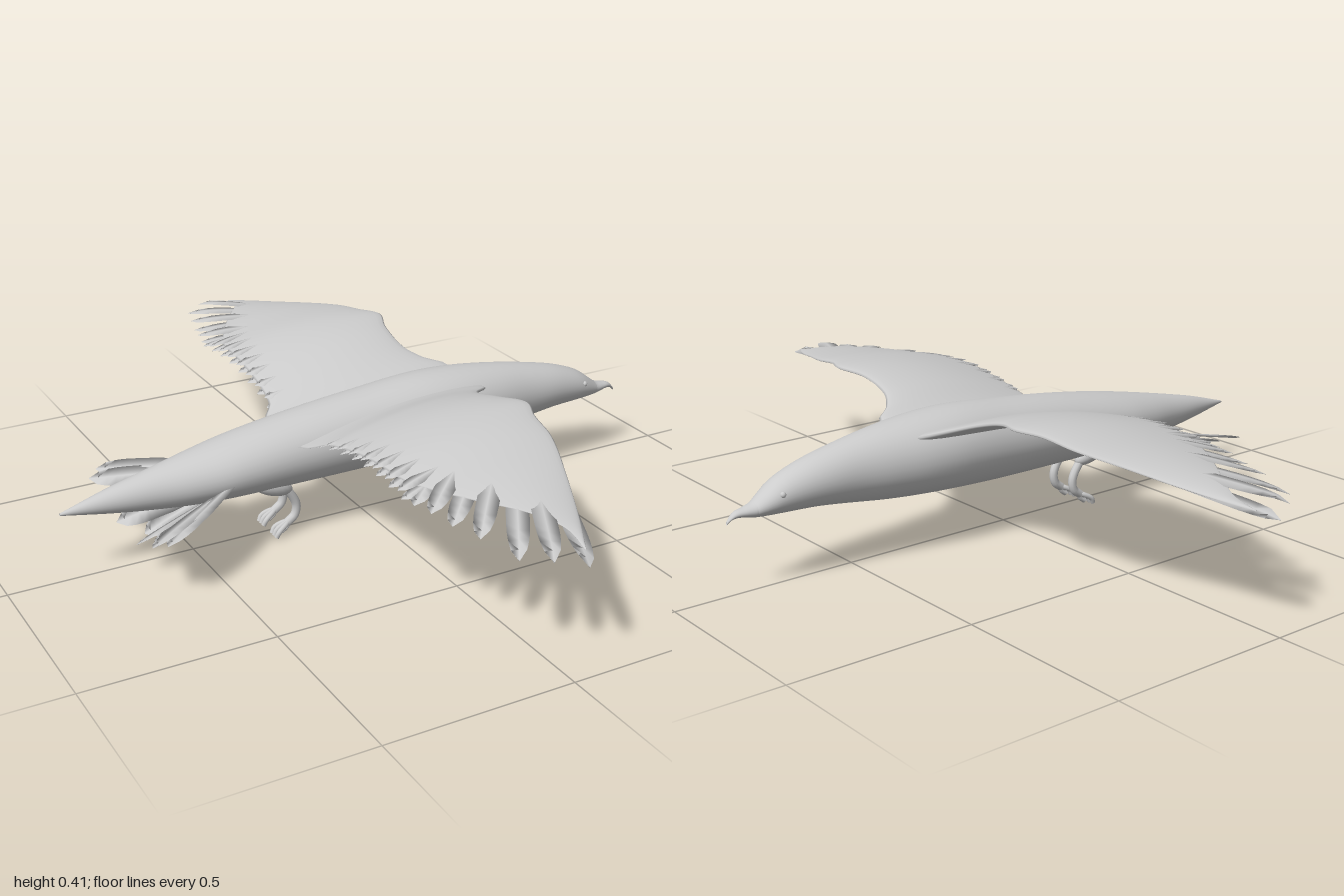
import * as THREE from 'three';

const grey = new THREE.MeshStandardMaterial({ color: 0xcccccc, side: THREE.DoubleSide });
const V = (x, y, z) => new THREE.Vector3(x, y, z);

// Smooth interpolation in a table of [key, value] pairs
function look(table, k) {
  const n = table.length - 1;
  if (k <= table[0][0]) return table[0][1];
  if (k >= table[n][0]) return table[n][1];
  let i = 0;
  while (table[i + 1][0] < k) i++;
  const slope = j => {
    const a = table[Math.max(0, j - 1)], b = table[Math.min(n, j + 1)];
    return (b[1] - a[1]) / (b[0] - a[0]);
  };
  const [x0, y0] = table[i], [x1, y1] = table[i + 1];
  const d = x1 - x0, t = (k - x0) / d, t2 = t * t, t3 = t2 * t;
  return (2 * t3 - 3 * t2 + 1) * y0 + (t3 - 2 * t2 + t) * d * slope(i)
    + (3 * t2 - 2 * t3) * y1 + (t3 - t2) * d * slope(i + 1);
}

// Skin over a list of closed rings of points
function loft(rings, flip = false) {
  const n = rings[0].length, index = [];
  for (let i = 0; i < rings.length - 1; i++) {
    for (let j = 0; j < n; j++) {
      const a = i * n + j, b = i * n + (j + 1) % n, c = a + n, d = b + n;
      if (flip) index.push(a, d, c, a, b, d);
      else index.push(a, c, d, a, d, b);
    }
  }
  const g = new THREE.BufferGeometry().setFromPoints(rings.flat());
  g.setIndex(index);
  g.computeVertexNormals();
  return g;
}

function add(parent, name, geometry) {
  const m = new THREE.Mesh(geometry, grey);
  m.name = name;
  parent.add(m);
  return m;
}

// Body profile along x: top, bottom and half width
const top = [[-0.85, 0.193], [-0.7, 0.235], [-0.4, 0.298], [-0.2, 0.33], [0, 0.352], [0.2, 0.366], [0.4, 0.352],
  [0.6, 0.315], [0.7, 0.282], [0.74, 0.257], [0.775, 0.23], [0.8, 0.222], [0.83, 0.214], [0.85, 0.194]];
const bottom = [[-0.85, 0.187], [-0.7, 0.162], [-0.55, 0.145], [-0.4, 0.14], [0, 0.138], [0.2, 0.144], [0.4, 0.157],
  [0.6, 0.182], [0.7, 0.187], [0.775, 0.191], [0.82, 0.199], [0.84, 0.195], [0.85, 0.186]];
const width = [[-0.85, 0.003], [-0.7, 0.036], [-0.6, 0.056], [-0.5, 0.08], [-0.4, 0.098], [-0.2, 0.106], [0, 0.112],
  [0.2, 0.118], [0.3, 0.112], [0.4, 0.096], [0.5, 0.078], [0.6, 0.066], [0.7, 0.05], [0.74, 0.04], [0.775, 0.026],
  [0.8, 0.019], [0.83, 0.011], [0.85, 0.003]];

function bodyPart(x0, x1, steps) {
  const rings = [];
  for (let i = 0; i <= steps; i++) {
    const x = x0 + (x1 - x0) * i / steps;
    const t = look(top, x), b = look(bottom, x), w = look(width, x), ring = [];
    for (let j = 0; j < 32; j++) {
      const a = j / 32 * Math.PI * 2;
      ring.push(V(x, (t + b) / 2 + (t - b) / 2 * Math.sin(a), w * Math.cos(a)));
    }
    rings.push(ring);
  }
  return loft(rings);
}

// Wing plan and height along the span
const lead = [[0, 0.35], [0.1, 0.335], [0.14, 0.285], [0.2, 0.25], [0.3, 0.25], [0.38, 0.276], [0.45, 0.25],
  [0.55, 0.232], [0.7, 0.17], [0.85, 0.1], [1, 0.02]];
const coreTrail = [[0, -0.23], [0.11, -0.23], [0.16, -0.195], [0.5, -0.17], [0.6, -0.13], [0.7, -0.07],
  [0.8, 0], [0.88, 0.045], [0.95, 0.044]];
const trail = [[0, -0.22], [0.6, -0.2], [0.72, -0.165], [0.8, -0.145], [0.9, -0.115], [1, -0.03]];
const leadY = [[0, 0.3], [0.1, 0.33], [0.2, 0.365], [0.3, 0.392], [0.4, 0.402], [0.6, 0.375], [0.8, 0.335], [1, 0.295]];
const trailY = [[0, 0.26], [0.12, 0.28], [0.2, 0.305], [0.4, 0.337], [0.6, 0.326], [0.8, 0.315], [0.91, 0.305], [1, 0.295]];

function wingHeight(x, z) {
  z = Math.abs(z);
  const l = look(lead, z);
  const v = THREE.MathUtils.clamp((l - x) / (l - look(trail, z)), 0, 1);
  return THREE.MathUtils.lerp(look(leadY, z), look(trailY, z), v) + 0.015 * Math.sin(Math.PI * v);
}

function wingCore(s) {
  const rings = [];
  for (let i = 0; i <= 60; i++) {
    const z = 0.03 + 0.92 * i / 60, l = look(lead, z), t = Math.min(look(coreTrail, z), l - 0.002);
    const thick = 0.004 + 0.02 * (1 - z), ring = [];
    for (let j = 0; j < 28; j++) {
      const a = j / 28 * Math.PI * 2, u = 0.5 - 0.5 * Math.cos(a), x = t + (l - t) * u;
      ring.push(V(x, wingHeight(x, z) + thick * Math.sin(a) * (0.3 + 0.7 * u), s * z));
    }
    rings.push(ring);
  }
  return loft(rings, s < 0);
}

// Thin lens-shaped blade with a rounded tip; place() can bend it onto a surface
function feather(base, tip, up, w, place = p => p) {
  const dir = tip.clone().sub(base), side = dir.clone().cross(up).normalize();
  const lift = side.clone().cross(dir).normalize(), rings = [];
  for (let i = 0; i <= 14; i++) {
    const t = i / 14, e = Math.max(0, (t - 0.72) / 0.28);
    const half = w * Math.min(1, 0.5 + t) * Math.sqrt(Math.max(0.001, 1 - e * e));
    const c = base.clone().addScaledVector(dir, t);
    rings.push([[1, 0], [0, 0.003], [-1, 0], [0, -0.003]].map(([a, b]) => {
      const p = place(c.clone().addScaledVector(side, a * half));
      return p.addScaledVector(lift, b * (1 - 0.8 * e));
    }));
  }
  return loft(rings);
}

function wing(s) {
  const g = new THREE.Group();
  g.name = s > 0 ? 'leftWing' : 'rightWing';
  add(g, 'wingCore', wingCore(s));
  const up = V(0, 1, 0);
  const blade = (name, b, t, w, off) => add(g, name, feather(V(b[0], 0, s * b[1]), V(t[0], 0, s * t[1]), up, w, p => {
    p.y = wingHeight(p.x, p.z) + off;
    return p;
  }));
  // Primaries fan out from the wrist
  const tips = [[0.02, 1], [-0.05, 0.965], [-0.108, 0.915], [-0.142, 0.81], [-0.165, 0.73], [-0.182, 0.665], [-0.195, 0.61]];
  tips.forEach((t, i) => blade('primaryFeather', [0.168 - 0.023 * i, 0.6 - 0.025 * i], t, 0.027, i % 2 ? 0.002 : -0.002));
  // Secondaries lie side by side along the trailing edge
  for (let i = 0; i < 15; i++) {
    const z = 0.15 + 0.03 * i;
    blade('secondaryFeather', [0, z * 0.96], [-0.206 + 0.008 * (i % 2), z], 0.02, i % 2 ? 0.002 : -0.002);
  }
  return g;
}

// Half of the drooping tail fan
function tail(s) {
  const g = new THREE.Group();
  g.name = s > 0 ? 'leftTailFan' : 'rightTailFan';
  const tips = [[-0.665, 0.17, 0.25], [-0.695, 0.16, 0.222], [-0.67, 0.14, 0.17], [-0.65, 0.12, 0.12],
    [-0.68, 0.095, 0.07], [-0.62, 0.065, 0.03]];
  tips.forEach(([x, y, z], i) => {
    add(g, 'tailFeather', feather(V(-0.4, 0.2 - 0.008 * i, s * (0.06 - 0.009 * i)), V(x, y, s * z),
      V(0, 0.225, -0.105 * s), 0.034));
  });
  return g;
}

function tube(points, r) {
  return new THREE.TubeGeometry(new THREE.CatmullRomCurve3(points.map(p => V(...p))), 20, r, 10);
}

// Tucked leg with curled toes
function leg(s) {
  const g = new THREE.Group(), z = s * 0.04;
  g.name = s > 0 ? 'leftLeg' : 'rightLeg';
  const thigh = add(g, 'thigh', new THREE.SphereGeometry(1, 20, 14));
  thigh.scale.set(0.06, 0.026, 0.026);
  thigh.position.set(-0.285, 0.153, z);
  thigh.rotation.z = -0.35;
  add(g, 'shank', tube([[-0.27, 0.155, z], [-0.238, 0.125, z], [-0.217, 0.085, z], [-0.222, 0.055, z], [-0.245, 0.036, z]], 0.012));
  for (const k of [-1, 0, 1]) {
    add(g, 'toe', tube([[-0.238, 0.04, z], [-0.255, 0.034, z + k * 0.01], [-0.275, 0.022, z + k * 0.016],
      [-0.283, 0.007, z + k * 0.014]], 0.007));
  }
  add(g, 'backToe', tube([[-0.238, 0.04, z], [-0.246, 0.024, z], [-0.262, 0.012, z]], 0.006));
  return g;
}

export function createModel() {
  const model = new THREE.Group();
  model.name = 'flyingBird';
  add(model, 'body', bodyPart(-0.85, 0.775, 80));
  add(model, 'beak', bodyPart(0.775, 0.85, 16));
  for (const s of [1, -1]) {
    model.add(wing(s), tail(s), leg(s));
    const eye = add(model, s > 0 ? 'leftEye' : 'rightEye', new THREE.SphereGeometry(0.008, 12, 8));
    eye.position.set(0.715, 0.245, s * 0.041);
  }
  return model;
}
